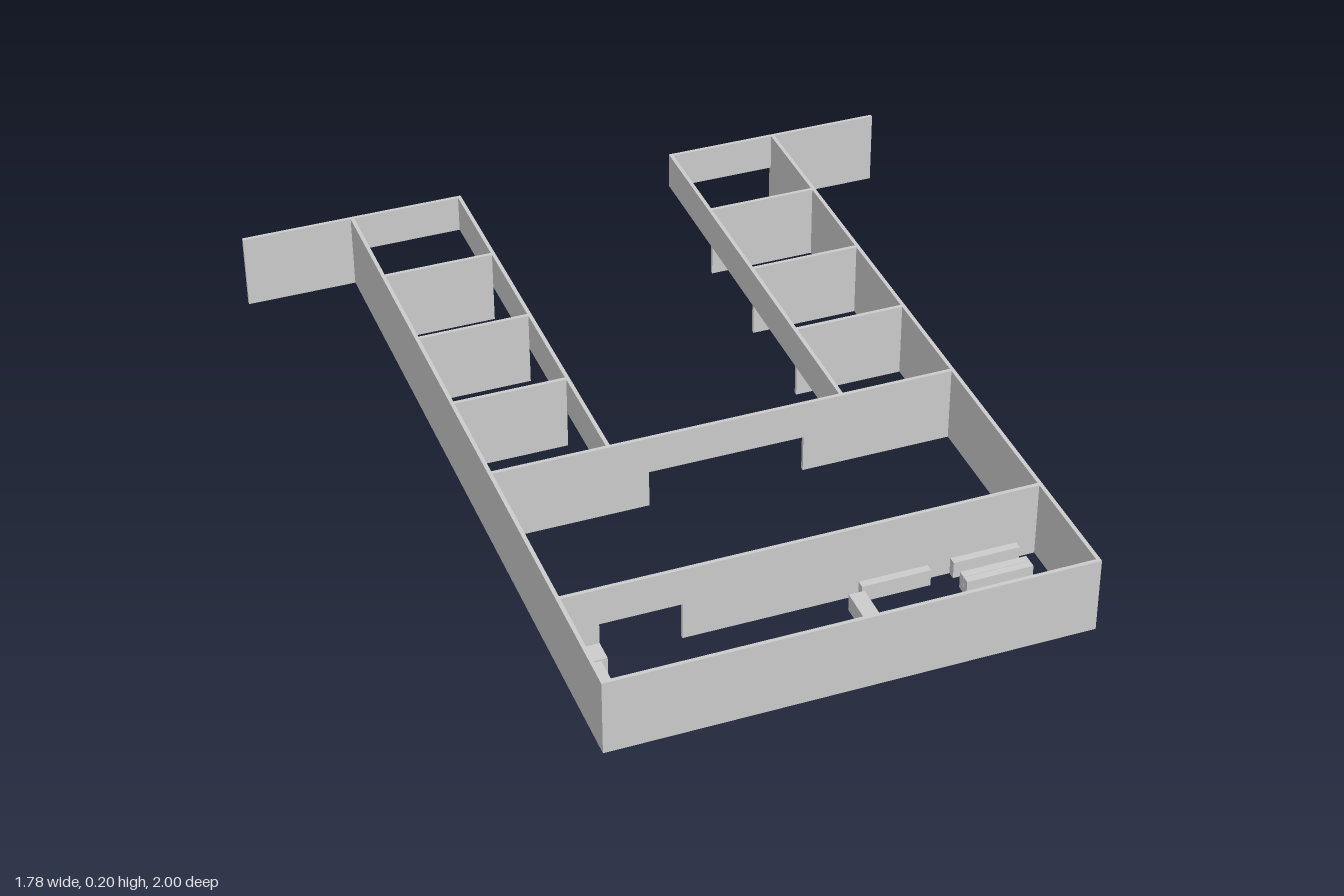
import * as THREE from 'three';

const H = 0.2, HALF = 0.1, T = 0.01, DESK = 0.045;

export function createModel() {
  const group = new THREE.Group();
  const mat = new THREE.MeshStandardMaterial({ color: 0xcccccc, flatShading: true });

  const add = (name, geometry) => {
    const mesh = new THREE.Mesh(geometry, mat);
    mesh.name = name;
    group.add(mesh);
    return mesh;
  };
  // box given by its extents on each axis
  const block = (name, x0, x1, y0, y1, z0, z1) =>
    add(name, new THREE.BoxGeometry(x1 - x0, y1 - y0, z1 - z0))
      .position.set((x0 + x1) / 2, (y0 + y1) / 2, (z0 + z1) / 2);

  // cross wall with a low doorway between d0 and d1
  const doorWall = (name, z, d0, d1) => {
    const s = new THREE.Shape();
    [[-0.59, 0], [d0, 0], [d0, HALF], [d1, HALF], [d1, 0], [0.59, 0], [0.59, H], [-0.59, H]]
      .forEach(([x, y], i) => (i ? s.lineTo(x, y) : s.moveTo(x, y)));
    s.closePath();
    add(name, new THREE.ExtrudeGeometry(s, { depth: T, bevelEnabled: false })).position.z = z - T / 2;
  };

  // main hall
  block('frontWall', -0.59, 0.59, 0, H, 1 - T, 1);
  doorWall('frontRoomWall', 0.69, -0.5, -0.3);
  doorWall('hallBackWall', 0.195, -0.2, 0.2);

  // two mirrored wings
  for (const s of [-1, 1]) {
    const side = s > 0 ? 'left' : 'right';
    const wall = (name, a, b, y0, z0, z1) =>
      block(side + name, Math.min(s * a, s * b), Math.max(s * a, s * b), y0, H, z0, z1);
    wall('OuterWall', 0.59, 0.6, 0, -1, 1);
    wall('InnerLintel', 0.295, 0.305, HALF, -1, 0.19);
    wall('EndLintel', 0.305, 0.59, HALF, -1, -1 + T);
    wall('BackScreen', 0.6, 0.89, 0, -1, -1 + T);
    for (const z of [-0.7, -0.4, -0.105]) wall('Partition', 0.305, 0.59, 0, z - T / 2, z + T / 2);
  }

  // shelves along the left end of the front room
  for (const [z0, z1] of [[0.695, 0.715], [0.75, 0.77], [0.771, 0.79], [0.825, 0.845],
    [0.86, 0.885], [0.905, 0.925], [0.926, 0.945], [0.967, 0.99]])
    block('shelf', 0.37, 0.54, 0, DESK, z0, z1);

  // row of short racks by the front wall
  for (const [x0, x1] of [[-0.54, -0.517], [-0.48, -0.438], [-0.388, -0.346], [-0.25, -0.226],
    [-0.182, -0.14], [-0.098, -0.056], [-0.012, 0.012]])
    block('rack', x0, x1, 0, 0.05, 0.887, 0.975);

  // free-standing furniture
  for (const [name, x0, x1, z0, z1] of [
    ['cabinet', -0.58, -0.5, 0.695, 0.75],
    ['sideRack', -0.54, -0.517, 0.755, 0.855],
    ['bench', -0.255, -0.155, 0.82, 0.838],
    ['bench', -0.087, 0.013, 0.82, 0.838],
    ['counter', 0.095, 0.135, 0.735, 0.835],
    ['wallShelf', 0.135, 0.31, 0.70, 0.72]])
    block(name, x0, x1, 0, DESK, z0, z1);

  return group;
}
